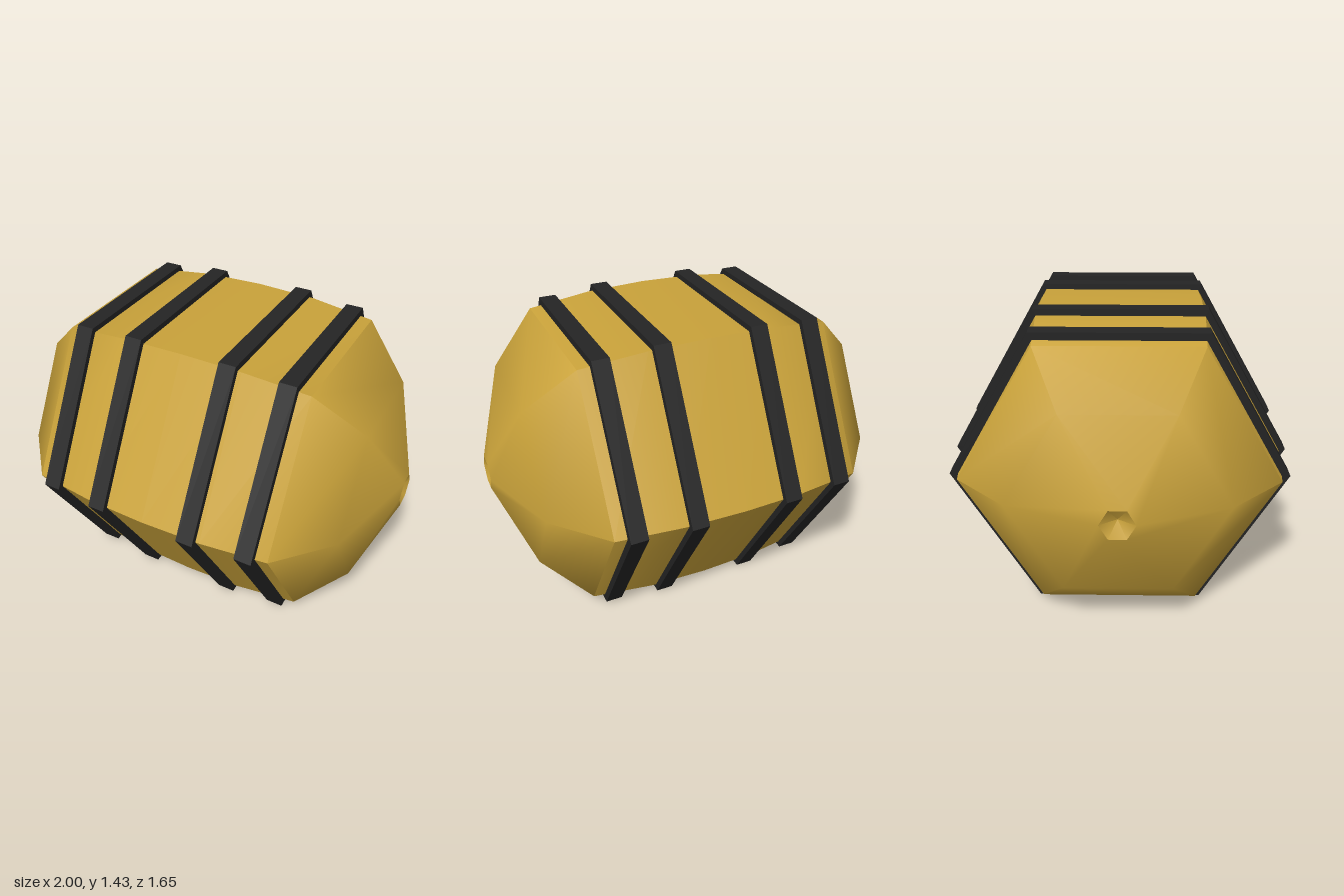
import * as THREE from 'three';
import { toCreasedNormals } from 'three/addons/utils/BufferGeometryUtils.js';

const SIDES = 6;
const AXIS_Y = 0.7125;

// six-sided lathe laid along the x axis, corners pointing to front and back
function hexLathe(points) {
  const profile = points.map(([x, r]) => new THREE.Vector2(r, x));
  return new THREE.LatheGeometry(profile, SIDES).rotateZ(-Math.PI / 2);
}

export function createModel() {
  const group = new THREE.Group();
  group.name = 'barrel';
  const wood = new THREE.MeshStandardMaterial({ color: 0xc9a23a });
  const iron = new THREE.MeshStandardMaterial({ color: 0x242424, flatShading: true });

  // body: bulging staves, domed ends and a shallow dimple at each tip
  const half = [[0.3, 0.788], [0.62, 0.75], [0.85, 0.5], [1, 0.08], [0.95, 0]];
  const mirrored = half.map(([x, r]) => [-x, r]).reverse();
  const bodyGeometry = toCreasedNormals(hexLathe([...mirrored, [0, 0.797], ...half]), 0.87);
  const body = new THREE.Mesh(bodyGeometry, wood);
  body.name = 'body';
  body.position.y = AXIS_Y;
  group.add(body);

  // hoops: square-section rings, the inner pair slightly larger
  const w = 0.042;
  for (const [name, x, r] of [['innerHoop', 0.24, 0.823], ['outerHoop', 0.52, 0.797]]) {
    const inner = r - 0.08;
    const geometry = hexLathe([[-w, inner], [-w, r], [w, r], [w, inner], [-w, inner]]);
    for (const side of [-1, 1]) {
      const hoop = new THREE.Mesh(geometry, iron);
      hoop.name = name + (side > 0 ? 'Left' : 'Right');
      hoop.position.set(side * x, AXIS_Y, 0);
      group.add(hoop);
    }
  }
  return group;
}
